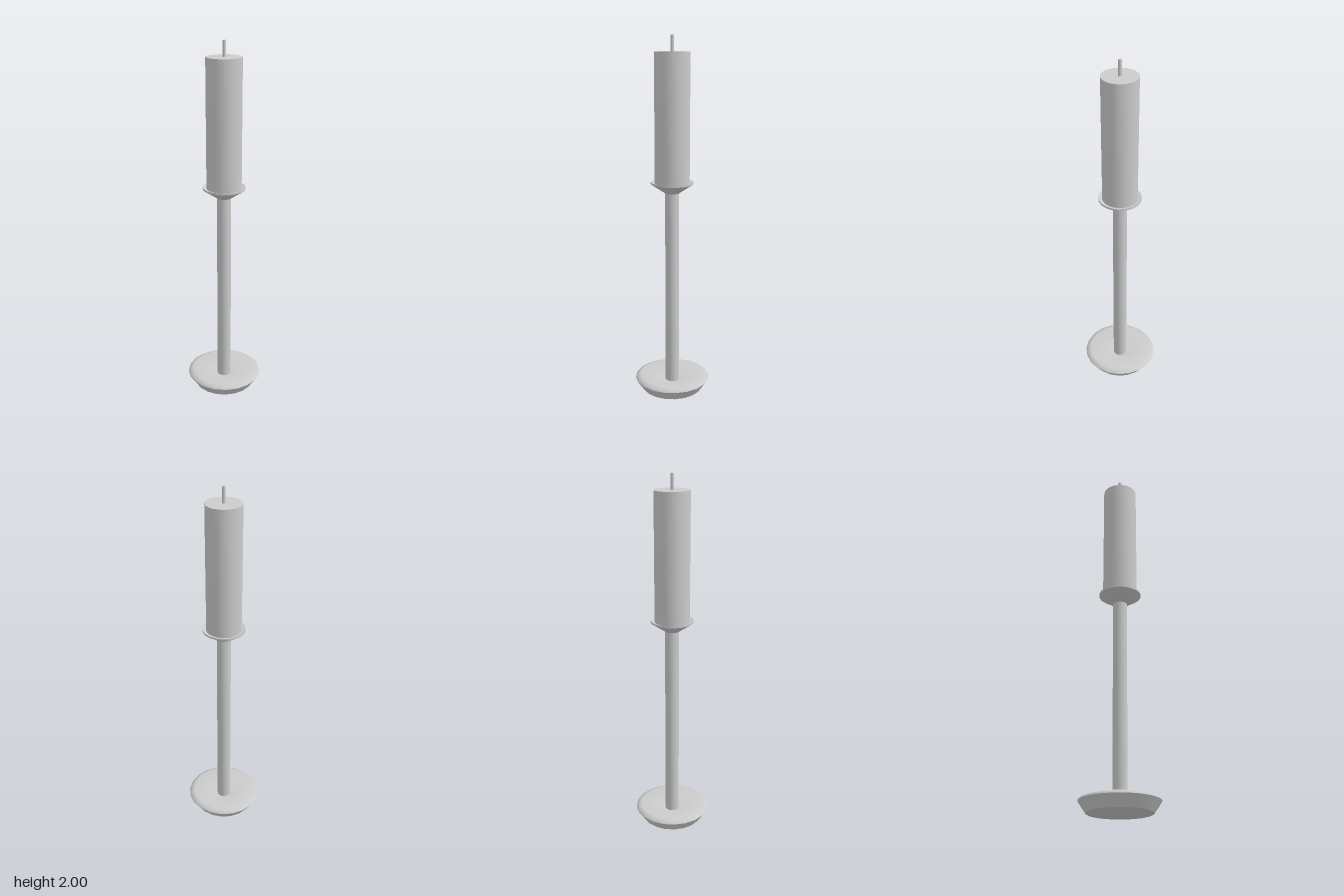
import * as THREE from 'three';
import { toCreasedNormals } from 'three/addons/utils/BufferGeometryUtils.js';

const material = new THREE.MeshStandardMaterial({ color: 0xcccccc });

// Turned part from a [radius, height] profile, listed from bottom to top
function turned(name, profile, sides = 20, crease = 0.9) {
  const points = profile.map(([r, y]) => new THREE.Vector2(r, y));
  const geometry = toCreasedNormals(new THREE.LatheGeometry(points, sides), crease);
  const mesh = new THREE.Mesh(geometry, material);
  mesh.name = name;
  return mesh;
}

// Solid upright rod with flat ends
function rod(name, radius, bottom, top, sides) {
  return turned(name, [[0, bottom], [radius, bottom], [radius, top], [0, top]], sides);
}

export function createModel() {
  const model = new THREE.Group();
  model.name = 'candlestick';

  model.add(
    // Flared foot with a rounded rim and a dished top
    turned('base', [
      [0, 0], [0.172, 0], [0.213, 0.06], [0.209, 0.068], [0.183, 0.08], [0.04, 0.045], [0, 0.045],
    ]),
    // Slim stem from the dish to the cup
    rod('stem', 0.039, 0.04, 1.165, 20),
    // Conical drip cup with a thin lip and shallow dish
    turned('dripCup', [
      [0, 1.16], [0.04, 1.16], [0.118, 1.212], [0.118, 1.222], [0.096, 1.215], [0, 1.21],
    ]),
    // Candle and wick
    rod('candle', 0.096, 1.212, 1.916, 24),
    rod('wick', 0.009, 1.91, 2, 12),
  );
  return model;
}
